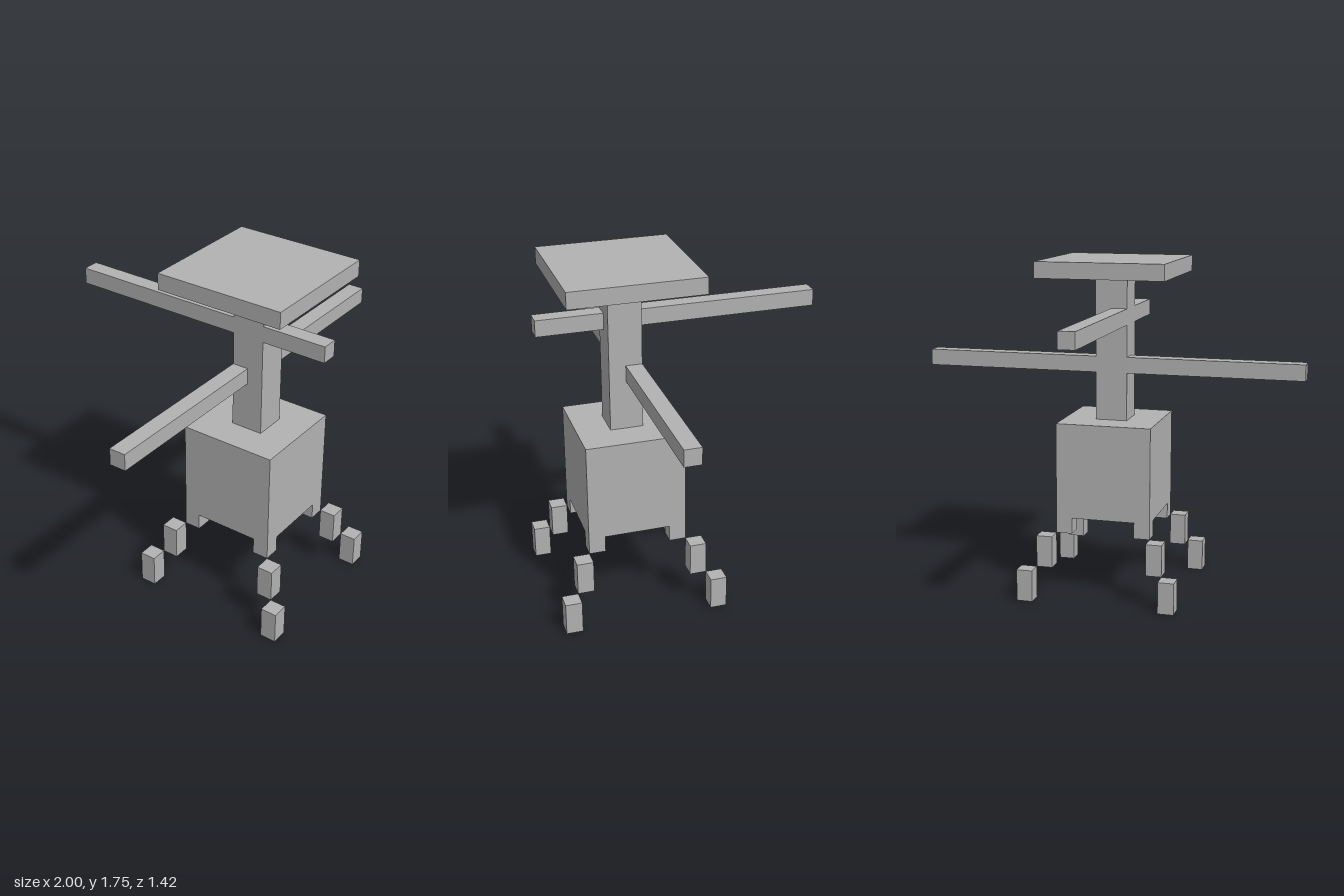
import * as THREE from 'three';

const U = 1 / 12; // block size
const Z = 3.5;    // depth of the body axis, in blocks

export function createModel() {
  const root = new THREE.Group();
  root.name = 'signpostStool';
  const grey = new THREE.MeshStandardMaterial({ color: 0xb2b2b2 });
  grey.name = 'plainGrey';

  // Box from min and max corners, in blocks
  function block(name, [x0, y0, z0], [x1, y1, z1], parent = root) {
    const geo = new THREE.BoxGeometry((x1 - x0) * U, (y1 - y0) * U, (z1 - z0) * U);
    const mesh = new THREE.Mesh(geo, grey);
    mesh.name = name;
    mesh.position.set((x0 + x1) / 2 * U, (y0 + y1) / 2 * U, (z0 + z1) / 2 * U);
    parent.add(mesh);
  }

  // Body, post and top plate
  block('body', [-3, 5, Z - 3], [3, 11, Z + 3]);
  block('post', [-1, 11, Z - 1], [1, 20, Z + 1]);
  block('topPlate', [-4, 20, Z - 4], [4, 21, Z + 4]);

  // Side arms, short front rod and long back rod
  block('leftArm', [1, 14, 2.5], [12, 15, 3.5]);
  block('rightArm', [-12, 14, 2.5], [-1, 15, 3.5]);
  block('frontRod', [-1, 17, 4.5], [0, 18, 8.5]);
  block('backRod', [-1, 17, -8.5], [0, 18, 2.5]);

  // Four stepped legs, each block one step further out and down
  const steps = [['upperLeg', 2, 4, 5], ['middleLeg', 3, 2, 4], ['foot', 4, 0, 2]];
  for (const sx of [1, -1]) {
    for (const sz of [1, -1]) {
      const leg = new THREE.Group();
      leg.name = (sz > 0 ? 'front' : 'back') + (sx > 0 ? 'Left' : 'Right') + 'Leg';
      root.add(leg);
      for (const [name, out, y0, y1] of steps) {
        const x = sx * (out + 0.5), z = Z + sz * (out + 0.5);
        block(name, [x - 0.5, y0, z - 0.5], [x + 0.5, y1, z + 0.5], leg);
      }
    }
  }
  return root;
}
